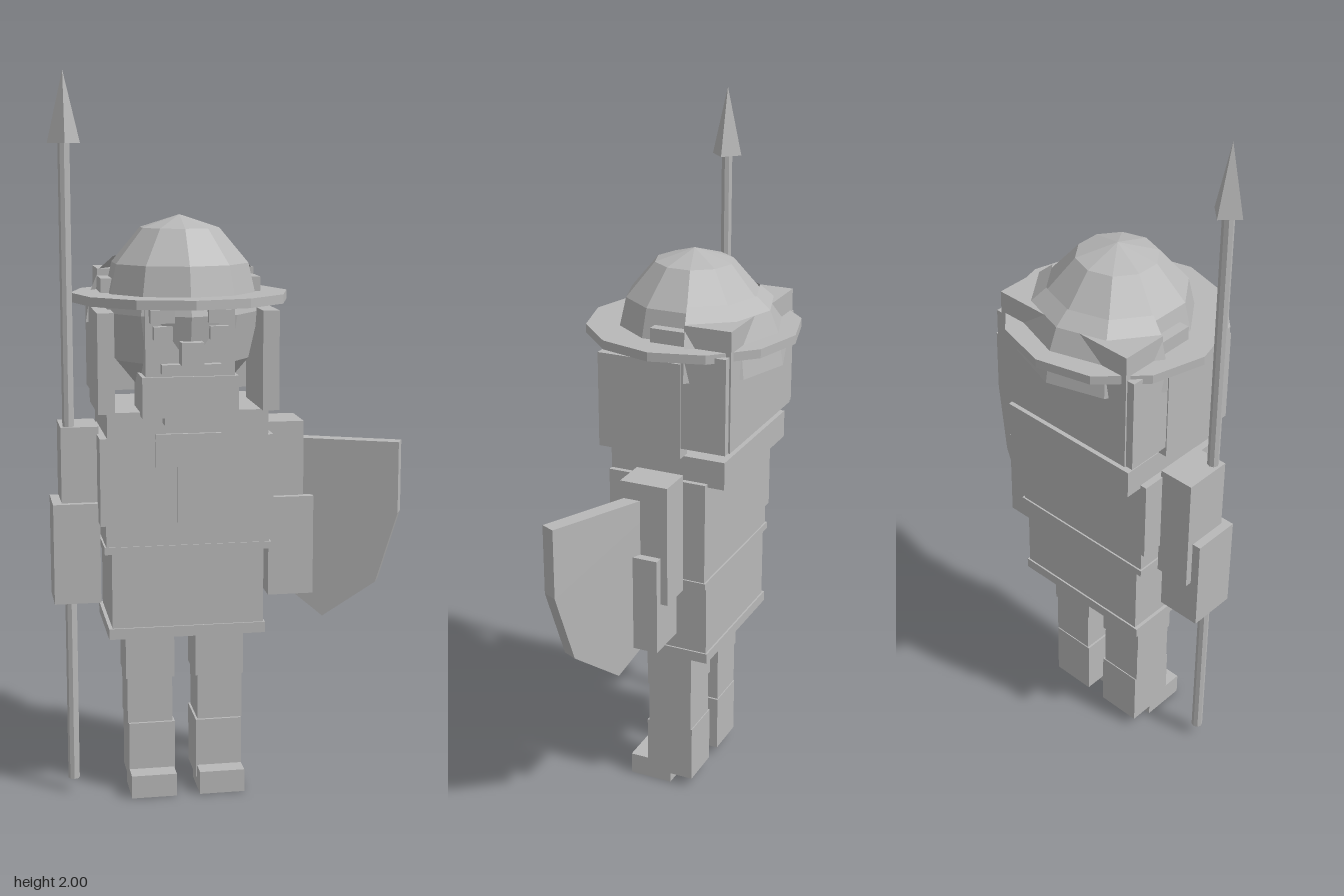
import * as THREE from 'three';

export function createModel() {
  const model = new THREE.Group();
  model.name = 'spearman';
  const grey = new THREE.MeshStandardMaterial({ color: 0xb8b8b8, flatShading: true, side: THREE.DoubleSide });
  grey.name = 'plain grey';
  const CX = -0.12; // middle of the body

  const add = (name, geometry, x = 0, y = 0, z = 0) => {
    const mesh = new THREE.Mesh(geometry, grey);
    mesh.name = name;
    mesh.position.set(x, y, z);
    model.add(mesh);
    return mesh;
  };
  // Box given by its limits on each axis
  const box = (name, x0, x1, y0, y1, z0, z1) =>
    add(name, new THREE.BoxGeometry(x1 - x0, y1 - y0, z1 - z0), (x0 + x1) / 2, (y0 + y1) / 2, (z0 + z1) / 2);
  // Box and its mirror image about the middle of the body
  const pair = (name, x0, x1, ...rest) => {
    box('left' + name, CX + x0, CX + x1, ...rest);
    box('right' + name, CX - x1, CX - x0, ...rest);
  };

  // Legs and feet
  pair('Thigh', 0.03, 0.167, 0.33, 0.5, -0.07, 0.07);
  pair('Shin', 0.036, 0.163, 0.2, 0.33, -0.067, 0.067);
  pair('Boot', 0.03, 0.16, 0.03, 0.2, -0.07, 0.075);
  pair('Foot', 0.033, 0.16, 0, 0.065, 0, 0.13);

  // Tunic and torso
  box('skirt', -0.33, 0.09, 0.47, 0.71, -0.135, 0.14);
  box('skirtHem', -0.34, 0.095, 0.47, 0.5, -0.14, 0.145);
  box('waist', -0.345, 0.105, 0.71, 0.79, -0.135, 0.145);
  box('belt', -0.35, 0.11, 0.71, 0.73, -0.14, 0.148);
  box('chest', -0.36, 0.115, 0.79, 1.03, -0.14, 0.15);
  box('shoulders', -0.34, 0.1, 1.02, 1.1, -0.19, 0.15);
  box('tunicStrip', -0.15, -0.085, 0.79, 1.04, 0.14, 0.158);
  box('tunicCrossStrip', -0.21, -0.03, 0.95, 1.04, 0.14, 0.16);

  // Arms
  pair('UpperArm', 0.235, 0.338, 0.7, 1.05, -0.075, 0.065);
  pair('Forearm', 0.235, 0.363, 0.56, 0.84, -0.055, 0.085);

  // Head with ten-sided skull and cap in one
  const skull = new THREE.SphereGeometry(0.22, 10, 6);
  skull.rotateY(Math.PI / 2);
  skull.scale(1, 0.26 / 0.22, 1);
  add('skullAndCap', skull, CX, 1.36, 0);

  // Face
  box('face', -0.24, 0, 1.19, 1.39, 0, 0.19);
  box('beard', -0.25, 0.01, 1.09, 1.2, 0.02, 0.2);
  box('beardTip', -0.19, -0.05, 1.07, 1.09, 0.05, 0.2);
  box('moustache', -0.2, -0.04, 1.21, 1.235, 0.15, 0.22);
  box('nose', -0.15, -0.09, 1.235, 1.295, 0.15, 0.24);
  pair('Eye', 0.05, 0.1, 1.3, 1.335, 0.15, 0.215);
  pair('Eyebrow', 0.045, 0.11, 1.345, 1.38, 0.15, 0.225);

  // Hair
  pair('SideHair', 0.2, 0.245, 1.1, 1.37, -0.07, 0.175);
  pair('RearSideHair', 0.2, 0.242, 1.13, 1.4, -0.2, -0.07);
  box('backHair', -0.34, 0.1, 1.13, 1.47, -0.205, -0.07);
  pair('TempleHair', 0.19, 0.22, 1.37, 1.45, -0.07, 0.03);

  // Helmet brim and flared neck guard
  add('helmetBrim', new THREE.CylinderGeometry(0.3, 0.3, 0.025, 12), CX, 1.398, 0);
  const guardProfile = [[0.265, 1.32], [0.25, 1.41], [0.225, 1.47], [0.185, 1.505]]
    .map(([r, y]) => new THREE.Vector2(r, y));
  add('neckGuard', new THREE.LatheGeometry(guardProfile, 4, Math.PI * 0.6, Math.PI * 0.8), CX, 0, 0);

  // Spear
  add('spearShaft', new THREE.CylinderGeometry(0.016, 0.016, 1.78, 8), -0.435, 0.93, 0.042);
  add('spearHead', new THREE.ConeGeometry(0.044, 0.19, 4), -0.435, 1.905, 0.042);

  // Shield
  const outline = [[-0.21, 1], [-0.21, 0.8], [-0.15, 0.6], [0, 0.49], [0.15, 0.6], [0.21, 0.8], [0.21, 1]]
    .map(([x, y]) => new THREE.Vector2(x, y));
  const shieldGeometry = new THREE.ExtrudeGeometry(new THREE.Shape(outline), { depth: 0.044, bevelEnabled: false });
  shieldGeometry.translate(0, 0, -0.022);
  const shield = add('shield', shieldGeometry, 0.282, 0, 0.06);
  shield.rotation.y = -0.435;

  return model;
}
